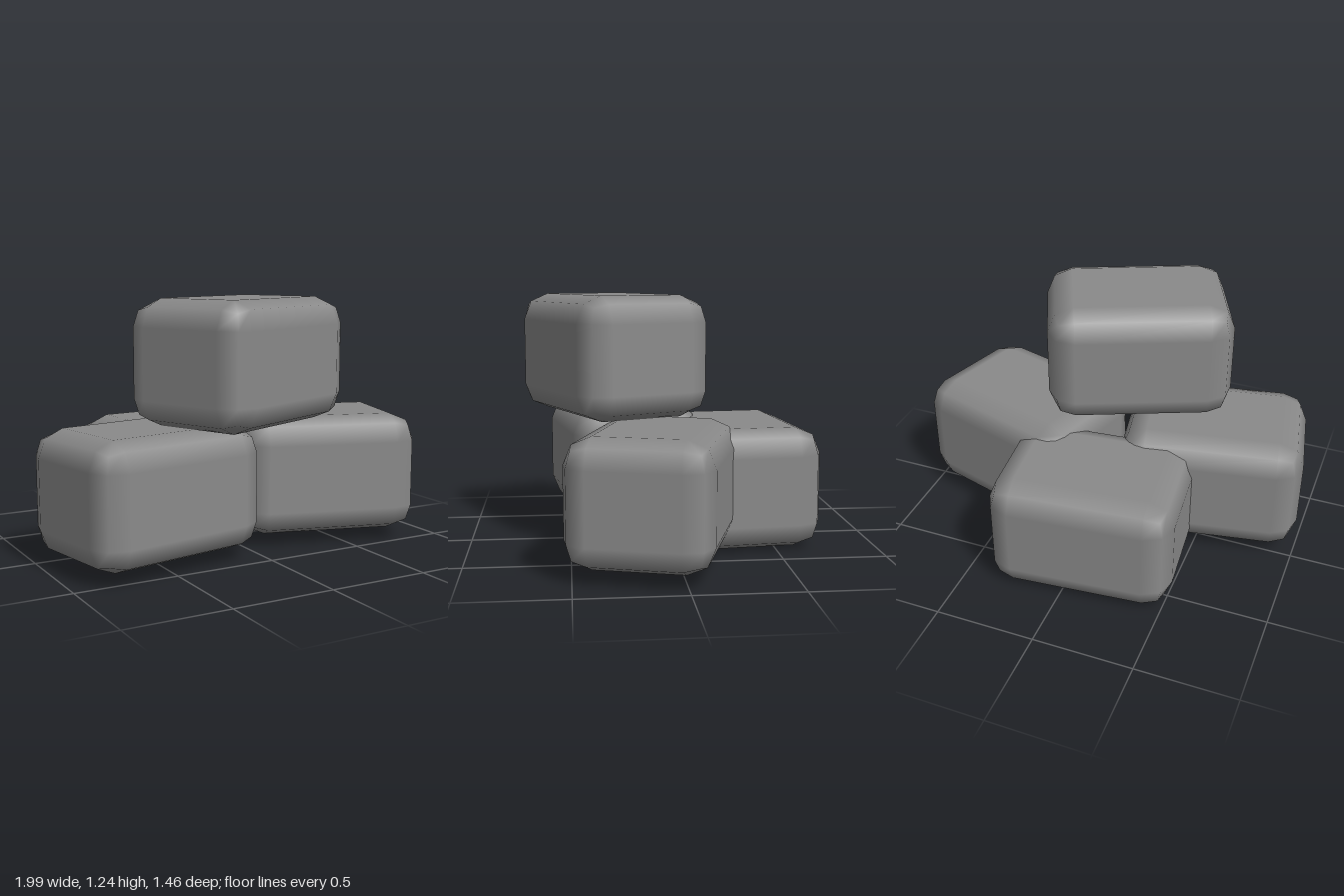
import * as THREE from 'three';
import { RoundedBoxGeometry } from 'three/addons/geometries/RoundedBoxGeometry.js';

export function createModel() {
  const group = new THREE.Group();
  group.name = 'stonePile';

  const stone = new THREE.MeshStandardMaterial({ color: 0x8a8a8a });
  stone.name = 'stoneGrey';

  // One block shape with a two-step bevel, shared by every stone
  const block = new RoundedBoxGeometry(0.914, 0.595, 0.682, 1, 0.13);

  // name, centre x, y, z, turn about y in degrees
  const stones = [
    ['rearStone', -0.055, 0.2985, -0.36, 5.4],
    ['rightStone', -0.51, 0.3475, 0.205, 10.3],
    ['leftStone', 0.499, 0.3475, 0.113, -16.8],
    ['topStone', -0.053, 0.9425, 0.281, 23.3],
  ];
  for (const [name, x, y, z, turn] of stones) {
    const mesh = new THREE.Mesh(block, stone);
    mesh.name = name;
    mesh.position.set(x, y, z);
    mesh.rotation.y = THREE.MathUtils.degToRad(turn);
    group.add(mesh);
  }
  return group;
}
